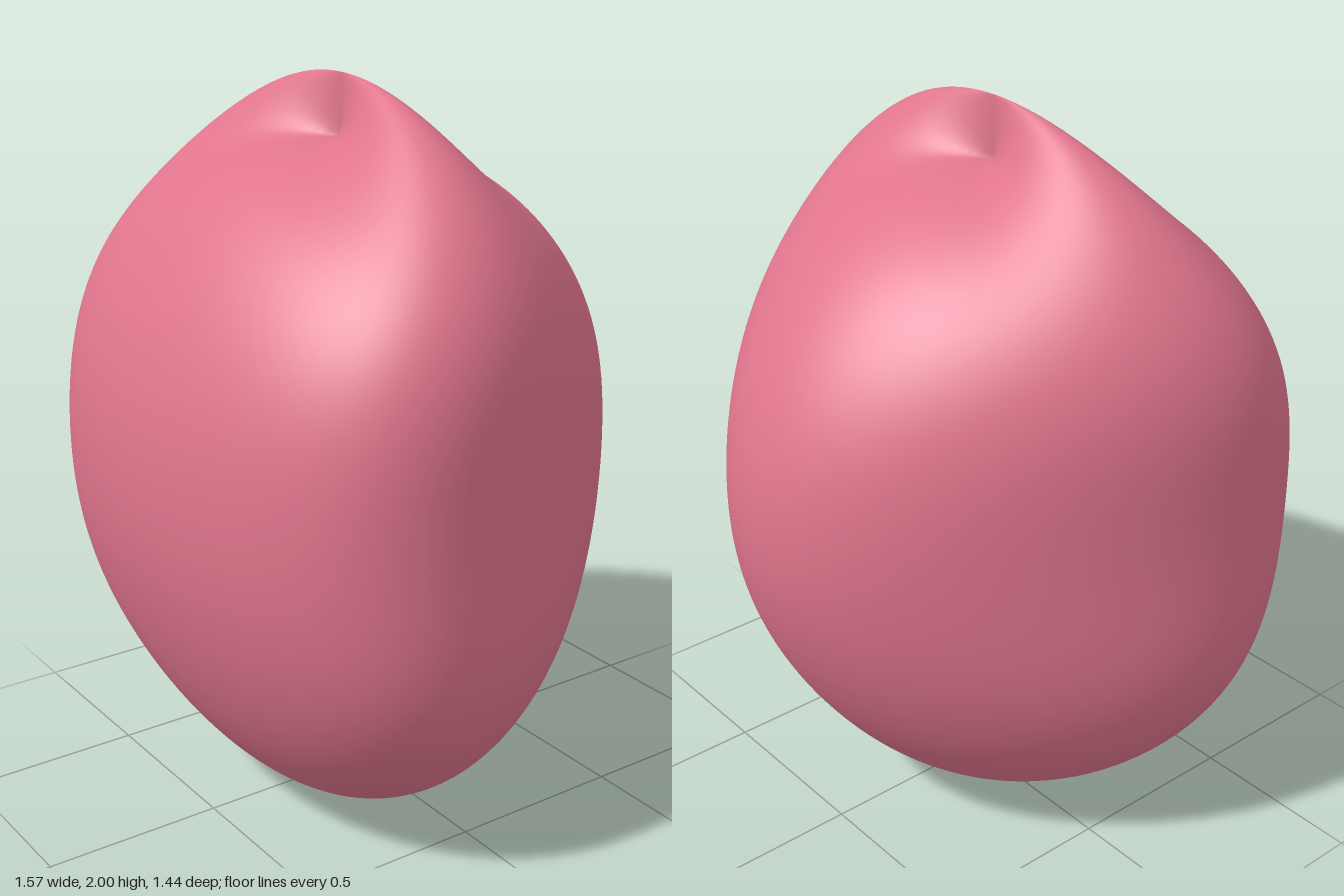
import * as THREE from 'three';

const RINGS = 96;
const SEGMENTS = 144;

// Point on the body: theta runs around the axis, phi from the top to the bottom
function bodyPoint(theta, phi) {
  const c = Math.cos(phi);
  const s = Math.sin(phi);
  // Full, slightly waisted outline across; near-elliptical outline in depth
  const across = 0.778 * s * (1.12 - 0.13 * s ** 10);
  const depth = 0.72 * s * (0.92 + 0.08 * s ** 4);
  // Rounded triangle with corners at the back and at both front sides
  const corner = 0.085 * s;
  const x = across * (Math.cos(theta) + corner * Math.sin(2 * theta));
  const z = depth * (Math.sin(theta) + corner * Math.cos(2 * theta));
  // The top is pinched into a narrow crest from side to side
  const pinch = 0.165 * ((1 + c) / 2) ** 4 * (1 - Math.cos(theta) ** 6);
  return [x, 1 + c - pinch, z + 0.061];
}

// Closed loops of points from the top pole to the bottom pole
function pinchedBody() {
  const positions = [];
  const index = [];
  for (let i = 0; i <= RINGS; i++) {
    for (let j = 0; j < SEGMENTS; j++) {
      positions.push(...bodyPoint((j / SEGMENTS) * Math.PI * 2, (i / RINGS) * Math.PI));
    }
  }
  for (let i = 0; i < RINGS; i++) {
    for (let j = 0; j < SEGMENTS; j++) {
      const k = (j + 1) % SEGMENTS;
      const a = i * SEGMENTS + j, b = a + SEGMENTS;
      const c = i * SEGMENTS + k, d = c + SEGMENTS;
      index.push(a, c, b, c, d, b);
    }
  }
  const geometry = new THREE.BufferGeometry();
  geometry.setAttribute('position', new THREE.Float32BufferAttribute(positions, 3));
  geometry.setIndex(index);
  geometry.computeVertexNormals();
  return geometry;
}

export function createModel() {
  const rose = new THREE.MeshStandardMaterial({ color: 0xe0758c, side: THREE.DoubleSide });
  rose.name = 'rose pink';

  const body = new THREE.Mesh(pinchedBody(), rose);
  body.name = 'pinchedBody';

  const model = new THREE.Group();
  model.name = 'pinchedForm';
  model.add(body);
  return model;
}
